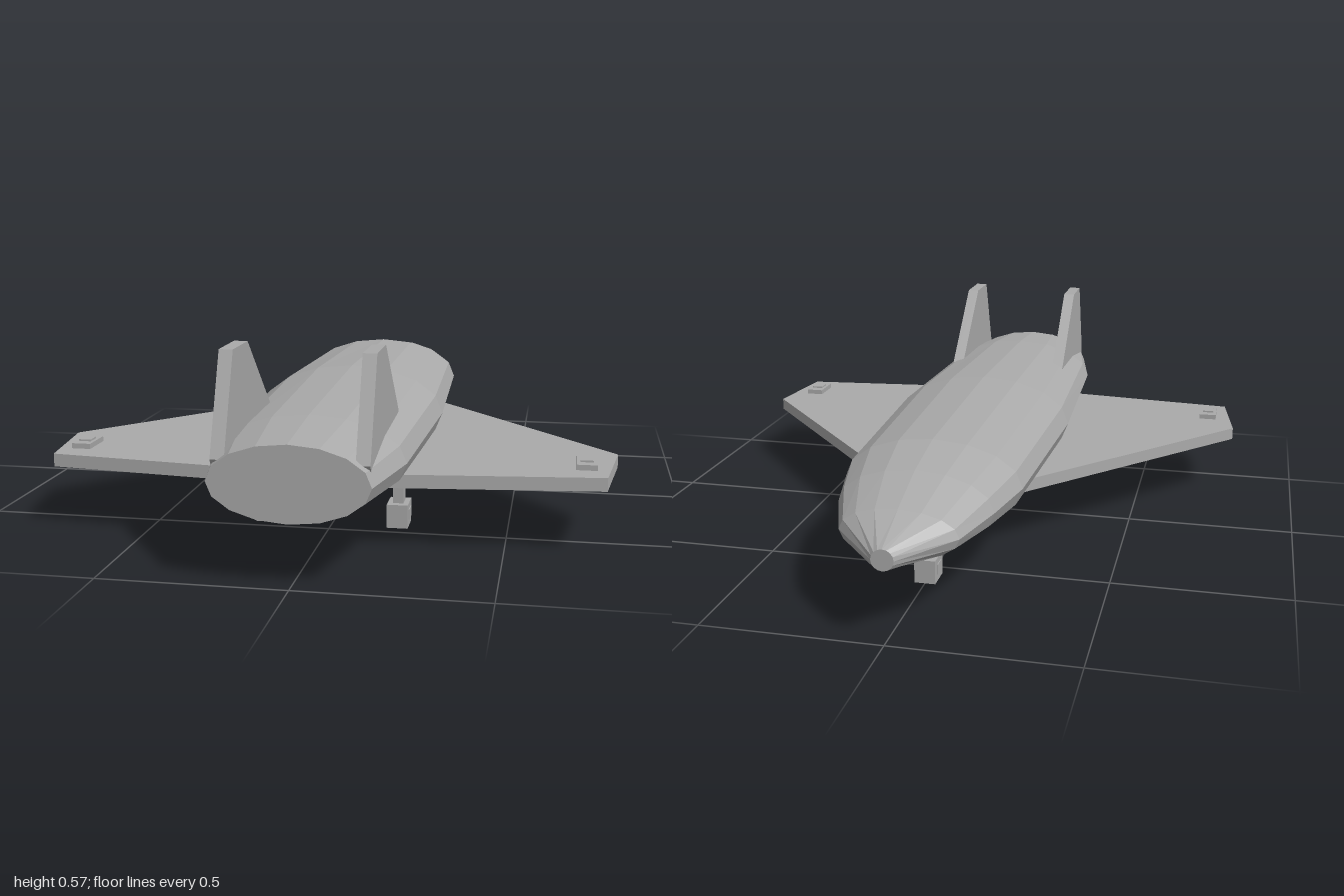
import * as THREE from 'three';

const hull = new THREE.MeshStandardMaterial({ color: 0xaaaaaa, flatShading: true });
hull.name = 'hullGrey';

function add(parent, name, geometry, x = 0, y = 0, z = 0) {
  const mesh = new THREE.Mesh(geometry, hull);
  mesh.name = name;
  mesh.position.set(x, y, z);
  parent.add(mesh);
  return mesh;
}

function plate(points, depth) {
  const shape = new THREE.Shape(points.map(([a, b]) => new THREE.Vector2(a, b)));
  return new THREE.ExtrudeGeometry(shape, { depth, bevelEnabled: false });
}

// Elliptical cross-sections joined along z, closed at both ends
function fuselageGeometry() {
  // z, half width, top, bottom
  const stations = [
    [1, 0.205, 0.365, 0.167],
    [0.75, 0.255, 0.385, 0.147],
    [0.12, 0.28, 0.405, 0.125],
    [-0.52, 0.255, 0.39, 0.14],
    [-0.7, 0.215, 0.36, 0.155],
    [-0.86, 0.16, 0.31, 0.175],
    [-1, 0.03, 0.258, 0.2],
  ];
  const sides = 16, pos = [], index = [];
  for (const [z, w, top, bottom] of stations) {
    for (let i = 0; i < sides; i++) {
      const a = (i / sides) * Math.PI * 2;
      pos.push(Math.cos(a) * w, (top + bottom) / 2 + Math.sin(a) * (top - bottom) / 2, z);
    }
  }
  const last = (stations.length - 1) * sides;
  for (let s = 0; s < last; s += sides) {
    for (let i = 0; i < sides; i++) {
      const j = (i + 1) % sides;
      index.push(s + i, s + sides + i, s + j, s + j, s + sides + i, s + sides + j);
    }
  }
  for (let i = 1; i < sides - 1; i++) {
    index.push(0, i, i + 1, last, last + i + 1, last + i);
  }
  const g = new THREE.BufferGeometry();
  g.setAttribute('position', new THREE.Float32BufferAttribute(pos, 3));
  g.setIndex(index);
  const flat = g.toNonIndexed();
  flat.computeVertexNormals();
  return flat;
}

// Square wheel block with small hubs, on a strut
function landingGear(name, x, z) {
  const gear = new THREE.Group();
  gear.name = name;
  gear.position.set(x, 0, z);
  add(gear, 'strut', new THREE.BoxGeometry(0.03, 0.16, 0.042), 0, 0.13, 0);
  add(gear, 'wheelBlock', new THREE.BoxGeometry(0.06, 0.068, 0.082), 0, 0.034, 0);
  add(gear, 'wheelHub', new THREE.BoxGeometry(0.066, 0.03, 0.04), 0, 0.036, 0);
  return gear;
}

export function createModel() {
  const model = new THREE.Group();
  model.name = 'spaceplane';
  add(model, 'fuselage', fuselageGeometry());

  for (const s of [1, -1]) {
    const side = s > 0 ? 'left' : 'right';

    // Wing outline in x and z, laid flat
    const wing = plate([[0.15, -0.392], [0.8, 0.355], [0.765, 0.615], [0.15, 0.682]]
      .map(([x, z]) => [s * x, -z]), 0.037);
    wing.rotateX(-Math.PI / 2);
    add(model, side + 'Wing', wing, 0, 0.178, 0);

    // Raised block near the wing tip
    add(model, side + 'WingBlock', new THREE.BoxGeometry(0.055, 0.016, 0.1), s * 0.712, 0.222, 0.497);
    add(model, side + 'WingBlockCap', new THREE.BoxGeometry(0.035, 0.006, 0.04), s * 0.712, 0.232, 0.497);

    // Tail fin outline in z and y, stood upright
    const fin = plate([[0.98, 0.315], [0.88, 0.57], [0.74, 0.57], [0.5, 0.35], [0.55, 0.28], [0.96, 0.28]]
      .map(([z, y]) => [-z, y]), 0.036);
    fin.rotateY(Math.PI / 2);
    add(model, side + 'Fin', fin, s * 0.18 - 0.018, 0, 0);

    model.add(landingGear(side + 'RearGear', s * 0.19, 0.422));
  }
  model.add(landingGear('noseGear', 0, -0.578));
  return model;
}
